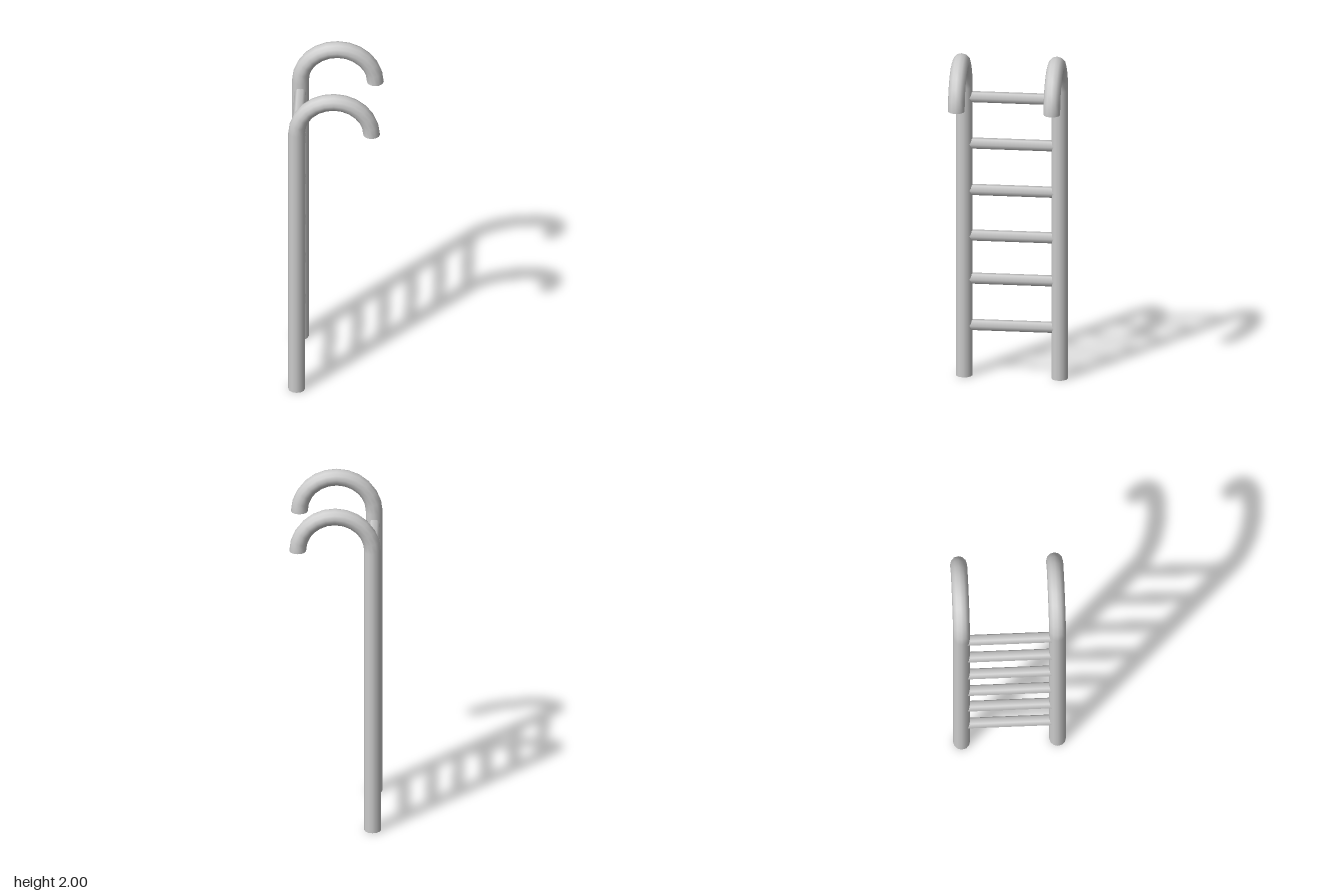
import * as THREE from 'three';

export function createModel() {
  const group = new THREE.Group();
  const mat = new THREE.MeshStandardMaterial({ color: 0xcccccc, side: THREE.DoubleSide });
  const add = (name, geo, x, y, z) => {
    const mesh = new THREE.Mesh(geo, mat);
    mesh.name = name;
    mesh.position.set(x, y, z);
    group.add(mesh);
  };

  const tube = 0.048;   // rail tube radius
  const bend = 0.213;   // hook radius
  const railTop = 1.74; // where the hooks begin
  const railZ = 0.273;

  // Two open upright tubes, each ending in a half-circle hook
  const railGeo = new THREE.CylinderGeometry(tube, tube, railTop, 12, 1, true);
  const hookGeo = new THREE.TorusGeometry(bend, tube, 12, 12, Math.PI);
  for (const [side, z] of [['front', railZ], ['back', -railZ]]) {
    add(side + 'Rail', railGeo, -bend, railTop / 2, z);
    add(side + 'Hook', hookGeo, 0, railTop, z);
  }

  // Six-sided rungs, flat on top, with an edge facing each way along x
  const rungGeo = new THREE.CylinderGeometry(0.0325, 0.0325, 0.49, 6, 1, true, Math.PI / 2);
  rungGeo.rotateX(Math.PI / 2);
  [0.305, 0.585, 0.845, 1.12, 1.4, 1.68].forEach((y, i) => add('rung' + (i + 1), rungGeo, -bend, y, 0));

  return group;
}
